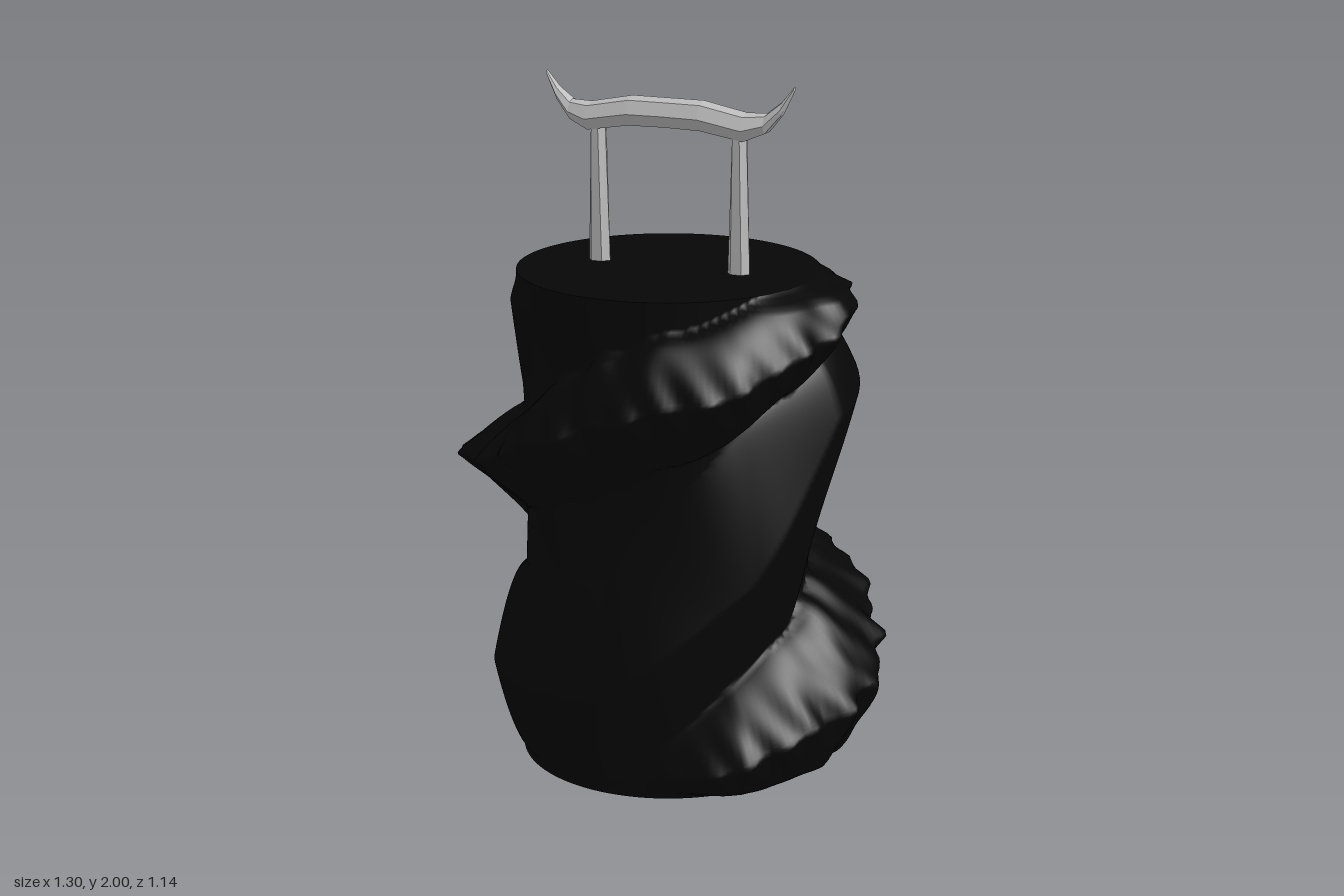
import * as THREE from 'three';
import { mergeVertices } from 'three/addons/utils/BufferGeometryUtils.js';

const R = 0.435, H = 1.46, CX = -0.013, CZ = 0.025;
const { smoothstep } = THREE.MathUtils;

// Spiral crests: [turn from +x towards -z, height, reach up, reach down, bulge, upper power, lower power]
// A power below 1 is blunt, 1 is a straight slope, above 1 is hollow.
const LEDGE = [
  [-0.21, 0.06, 0.1, 0.15, 0, 1, 1], [-0.12, 0.15, 0.2, 0.2, 0.17, 0.7, 0.5],
  [0, 0.28, 0.24, 0.27, 0.225, 0.55, 0.4], [0.125, 0.47, 0.11, 0.3, 0.19, 0.8, 1],
  [0.25, 0.62, 0.13, 0.4, 0.16, 0.8, 1.5], [0.375, 0.74, 0.1, 0.2, 0.19, 0.9, 1.3],
  [0.5, 0.84, 0.17, 0.2, 0.215, 0.8, 1.2], [0.625, 0.95, 0.13, 0.16, 0.18, 0.8, 0.9],
  [0.75, 1.12, 0.18, 0.22, 0.125, 0.45, 0.6], [0.875, 1.25, 0.17, 0.19, 0.175, 0.5, 0.5],
  [1, 1.39, 0.12, 0.16, 0.14, 0.6, 0.6], [1.08, 1.44, 0.1, 0.15, 0.05, 0.7, 0.7], [1.15, 1.5, 0.1, 0.15, 0, 1, 1],
];
const SWELL = [
  [0.25, 0.1, 0.2, 0.2, 0, 1, 1], [0.5, 0.25, 0.28, 0.2, 0.11, 0.5, 0.5],
  [0.75, 0.3, 0.35, 0.3, 0.06, 0.7, 0.7], [0.9, 0.65, 0.45, 0.4, 0.08, 0.7, 0.9],
  [1, 1.07, 0.18, 0.52, 0.118, 0.5, 0.8], [1.16, 1.2, 0.13, 0.25, 0.15, 0.5, 0.9],
  [1.25, 1.25, 0.13, 0.25, 0.115, 0.45, 0.8], [1.36, 1.3, 0.13, 0.28, 0.07, 0.6, 0.8],
  [1.5, 1.33, 0.15, 0.3, 0.04, 0.7, 0.8], [1.65, 1.4, 0.2, 0.2, 0, 1, 1],
];

// Returns [bulge, closeness to the crest]
function crest(keys, turn, y) {
  const i = keys.findIndex((k, n) => n < keys.length - 1 && turn >= k[0] && turn < keys[n + 1][0]);
  if (i < 0) return [0, 0];
  const a = keys[i], b = keys[i + 1];
  const f = (turn - a[0]) / (b[0] - a[0]);
  const [, h, up, down, amp, pUp, pDown] = a.map((v, n) => v + (b[n] - v) * f);
  const near = Math.max(0, 1 - Math.abs(y - h) / (y > h ? up : down));
  return [amp * Math.pow(near, y > h ? pUp : pDown), near];
}

function trunkRadius(turn, y) {
  const ang = turn * Math.PI * 2;
  // Ragged rim, strongest at the crest
  const rag = 0.06 * Math.sin(18 * ang + 2.5 * Math.sin(3 * ang)) + 0.05 * Math.sin(29 * ang + y * 30);
  const wobble = y + 0.01 * Math.sin(13 * ang + 2 * Math.sin(4 * ang));
  let out = 0;
  for (const n of [-1, 0, 1]) {
    const [ledge, near] = crest(LEDGE, turn + n, wobble);
    const [swell] = crest(SWELL, turn + n, y);
    const ledgeOut = ledge * (1 + rag * near) * (1 - smoothstep(y, H - 0.03, H));
    out = Math.max(out, ledgeOut, swell * (1 - smoothstep(y, H - 0.1, H)));
  }
  const mid = Math.sin(Math.PI * y / H);
  const waist = mid * (-0.02 + 0.006 * Math.sin(5 * ang + 6 * y));
  return R + waist + out * smoothstep(y, 0, 0.05);
}

function trunkGeometry() {
  let g = new THREE.CylinderGeometry(R, R, H, 200, 140);
  g.translate(0, H / 2, 0);
  g.deleteAttribute('uv');
  g = mergeVertices(g);
  const p = g.attributes.position;
  for (let i = 0; i < p.count; i++) {
    const x = p.getX(i), y = p.getY(i), z = p.getZ(i);
    const turn = (Math.atan2(-z, x) / (Math.PI * 2) + 1) % 1;
    const s = trunkRadius(turn, y) / R;
    p.setXYZ(i, x * s, y, z * s);
  }
  g.computeVertexNormals();
  return g;
}

// Upswept beam lofted through eight-sided sections
function beamGeometry() {
  // [x, bottom, top, half depth]
  const half = [
    [0, 1.865, 1.945, 0.052], [0.11, 1.863, 1.945, 0.052], [0.24, 1.842, 1.92, 0.052],
    [0.3, 1.867, 1.922, 0.036], [0.345, 1.92, 1.957, 0.021], [0.38, 1.988, 2, 0.008],
  ];
  const stations = [...half.slice(1).reverse().map(([x, ...r]) => [-x, ...r]), ...half];
  const ring = [[0, 1], [0.65, 0.88], [1, 0.42], [0.6, 0], [-0.6, 0], [-1, 0.42], [-0.65, 0.88]];
  const pos = [], idx = [], n = ring.length;
  for (const [x, lo, hi, d] of stations)
    for (const [z, v] of ring) pos.push(x, lo + (hi - lo) * v, z * d);
  for (let i = 0; i < stations.length - 1; i++)
    for (let j = 0; j < n; j++) {
      const a = i * n + j, b = i * n + (j + 1) % n;
      idx.push(a, b, a + n, b, b + n, a + n);
    }
  const last = (stations.length - 1) * n;
  for (let k = 1; k < n - 1; k++) idx.push(0, k + 1, k, last, last + k, last + k + 1);
  const g = new THREE.BufferGeometry();
  g.setAttribute('position', new THREE.Float32BufferAttribute(pos, 3));
  g.setIndex(idx);
  const flat = g.toNonIndexed();
  flat.computeVertexNormals();
  return flat;
}

// Post that narrows in width and widens in depth towards the top
function postGeometry() {
  const g = new THREE.CylinderGeometry(1, 1, 0.43, 6);
  g.rotateY(Math.PI / 6);
  const p = g.attributes.position;
  for (let i = 0; i < p.count; i++) {
    const top = p.getY(i) > 0;
    p.setX(i, p.getX(i) * (top ? 0.02 : 0.034));
    p.setZ(i, p.getZ(i) * (top ? 0.034 : 0.026));
  }
  g.computeVertexNormals();
  return g;
}

export function createModel() {
  const model = new THREE.Group();
  const black = new THREE.MeshStandardMaterial({ color: 0x060606 });
  black.name = 'black rock';
  const grey = new THREE.MeshStandardMaterial({ color: 0xbcbcbc });
  grey.name = 'pale grey';
  grey.flatShading = true;

  // Rock column with spiral ledges
  const trunk = new THREE.Mesh(trunkGeometry(), black);
  trunk.name = 'rockColumn';
  trunk.position.set(CX, 0, CZ);
  model.add(trunk);

  // Gate on top
  const gate = new THREE.Group();
  gate.name = 'gate';
  gate.position.set(CX, 0, CZ);
  const beam = new THREE.Mesh(beamGeometry(), grey);
  beam.name = 'gateBeam';
  gate.add(beam);
  for (const side of [-1, 1]) {
    const post = new THREE.Mesh(postGeometry(), grey);
    post.name = side > 0 ? 'leftPost' : 'rightPost';
    post.position.set(side * 0.218, 1.665, 0);
    gate.add(post);
  }
  model.add(gate);
  return model;
}
